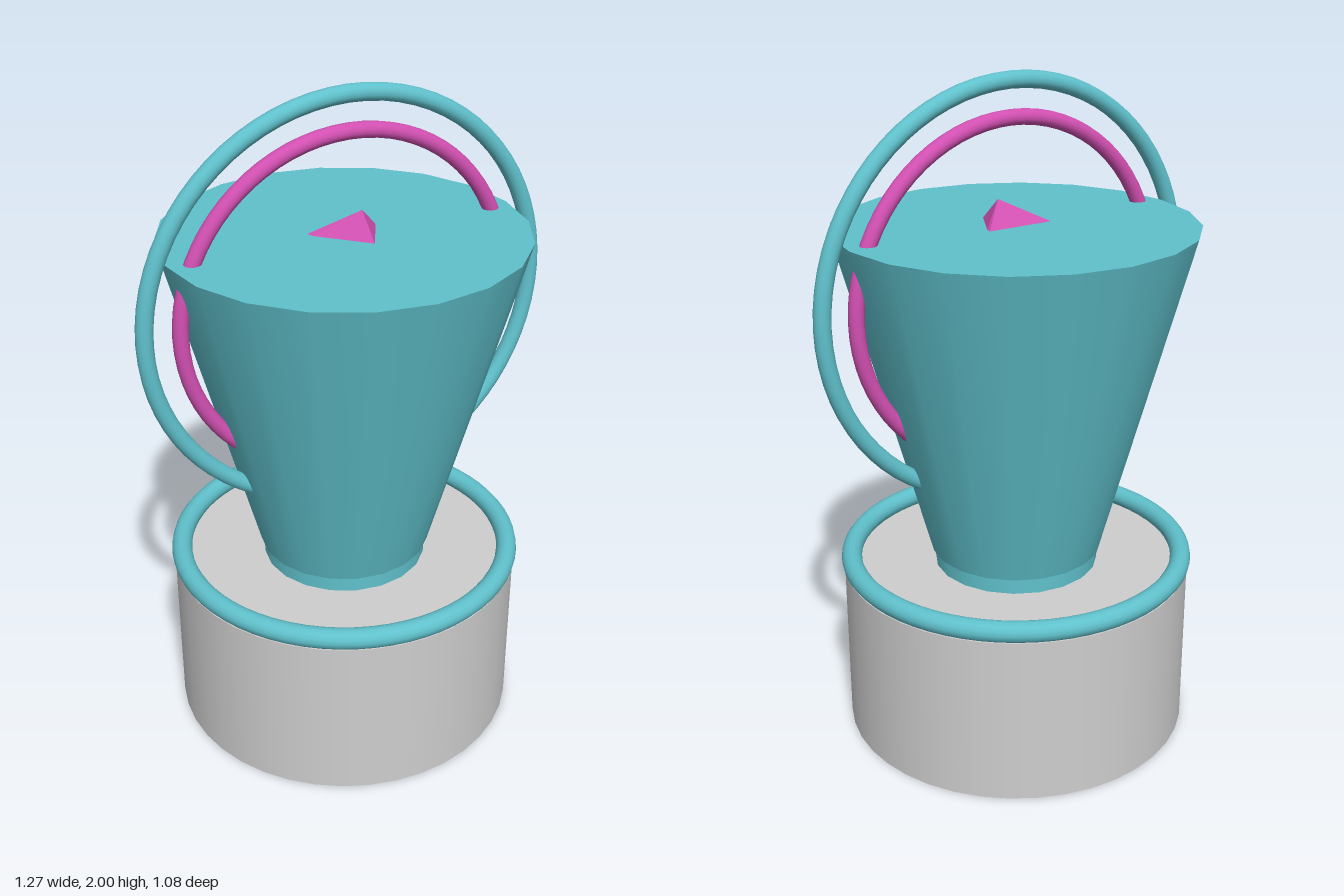
import * as THREE from 'three';
import { ConvexGeometry } from 'three/addons/geometries/ConvexGeometry.js';

const paint = (name, color) => {
  const m = new THREE.MeshStandardMaterial({ color });
  m.name = name;
  return m;
};

export function createModel() {
  const grey = paint('light grey', 0xcecece);
  const teal = paint('teal', 0x60c1cc);
  const pink = paint('pink', 0xd250b2);
  const model = new THREE.Group();
  model.name = 'ringedCup';

  const add = (name, geometry, material, x = 0, y = 0, z = 0) => {
    const mesh = new THREE.Mesh(geometry, material);
    mesh.name = name;
    mesh.position.set(x, y, z);
    model.add(mesh);
    return mesh;
  };

  // Drum-shaped base with a ring around its top edge
  add('base', new THREE.CylinderGeometry(0.53, 0.53, 0.52, 40), grey, 0, 0.26, 0);
  add('baseRing', new THREE.TorusGeometry(0.508, 0.031, 14, 64), teal, 0, 0.546, 0)
    .rotation.x = Math.PI / 2;

  // Short neck and flaring cup, closed on top
  add('neck', new THREE.CylinderGeometry(0.25, 0.25, 0.06, 20), teal, 0, 0.545, 0);
  add('cup', new THREE.CylinderGeometry(0.53, 0.26, 1.005, 20), teal, 0, 1.0725, 0);

  // Two concentric upright rings passing through the cup
  add('outerRing', new THREE.TorusGeometry(0.61, 0.025, 14, 72), teal, 0, 1.365, 0.025);
  add('innerRing', new THREE.TorusGeometry(0.507, 0.023, 14, 72), pink, 0, 1.365, 0.025);

  // Faceted crystal poking out of the cup
  const foot = [[-0.1, -0.03], [0.108, -0.03], [0.104, -0.01], [0.037, 0.115], [-0.09, -0.008]];
  const points = foot.map(([x, z]) => new THREE.Vector3(x, 0, z));
  points.push(new THREE.Vector3(0.038, 0.07, 0.035));
  add('crystal', new ConvexGeometry(points), pink, 0, 1.575, 0);

  return model;
}
